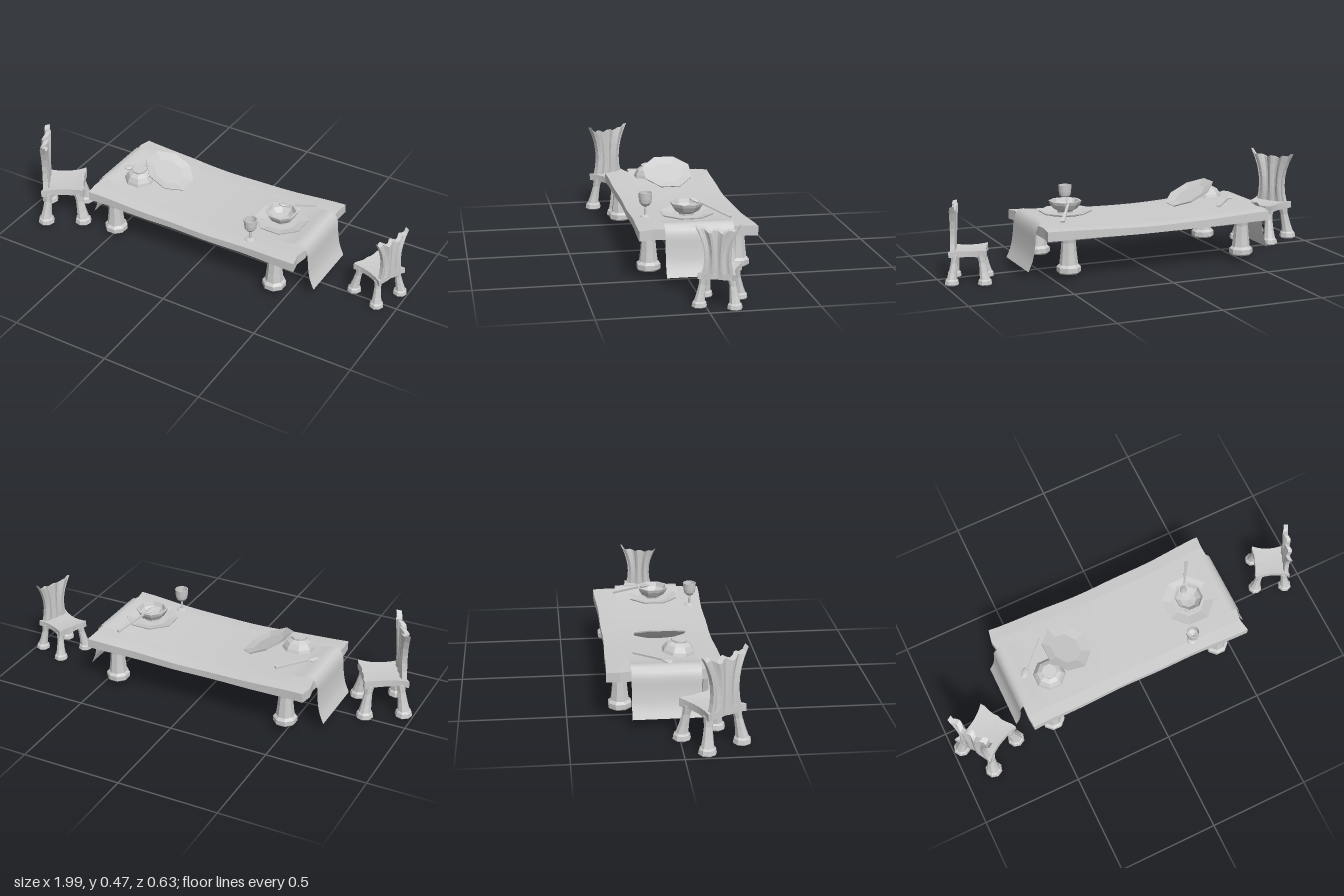
import * as THREE from 'three';

const flat = new THREE.MeshStandardMaterial({ color: 0xcccccc, flatShading: true });
const smooth = new THREE.MeshStandardMaterial({ color: 0xcccccc, side: THREE.DoubleSide });

function add(parent, name, geometry, material = flat) {
  const mesh = new THREE.Mesh(geometry, material);
  mesh.name = name;
  parent.add(mesh);
  return mesh;
}

// Moves every vertex of a geometry by a rule
function warp(geometry, rule) {
  const p = geometry.attributes.position;
  const v = new THREE.Vector3();
  for (let i = 0; i < p.count; i++) {
    rule(v.fromBufferAttribute(p, i));
    p.setXYZ(i, v.x, v.y, v.z);
  }
  geometry.computeVertexNormals();
  return geometry;
}

function turned(points, sides) {
  return new THREE.LatheGeometry(points.map(([r, y]) => new THREE.Vector2(r, y)), sides, Math.PI / sides);
}

// Chair facing its own +z
function makeChair(name, x, z, turn, scale) {
  const chair = new THREE.Group();
  chair.name = name;
  const legProfile = [[0, 0.003], [0.037, 0.003], [0.043, 0.009], [0.039, 0.03], [0.031, 0.038],
    [0.025, 0.075], [0.02, 0.13], [0.025, 0.175], [0, 0.175]];
  for (const sx of [-1, 1]) for (const sz of [-1, 1]) {
    // legs lean inwards above the foot
    const leg = warp(turned(legProfile, 8), v => {
      const lean = Math.max(0, v.y - 0.035) * 0.15;
      v.x -= sx * lean;
      v.z -= sz * lean;
    });
    add(chair, 'chairLeg', leg).position.set(sx * 0.0975, 0, sz * 0.095);
  }
  // waisted, dished seat
  add(chair, 'chairSeat', warp(new THREE.BoxGeometry(2, 0.034, 2, 8, 1, 8), v => {
    const { x: u, z: w } = v;
    const top = v.y > 0;
    v.x = u * (0.086 + 0.02 * w * w);
    v.z = w * (0.1 + 0.008 * u * u) + 0.003 * Math.cos(u * 9);
    v.y += 0.18 + (top ? 0.008 * w * w * (w > 0 ? 1 : 0.2) - 0.004 * (1 - u * u) : 0);
  }));
  // folded, flaring back with a ragged top
  add(chair, 'chairBack', warp(new THREE.BoxGeometry(2, 1, 0.026, 16, 6, 1), v => {
    const u = v.x, t = v.y + 0.5;
    const ragged = 0.43 + 0.03 * u * u * u * u + 0.008 * Math.sin(u * 11 + 1) + (v.z > 0 ? 0.004 : -0.003);
    v.x = u * (0.086 - 0.085 * t + 0.1215 * t * t);
    v.y = 0.19 + t * (ragged - 0.19);
    v.z += -0.088 + 0.009 * Math.cos(u * 10) * (0.3 + 0.7 * t) + 0.012 * u * u * t;
  }));
  chair.position.set(x, 0, z);
  chair.rotation.y = turn;
  chair.scale.setScalar(scale);
  return chair;
}

// Spoon from its head to the end of its handle
function makeSpoon(head, end) {
  const spoon = new THREE.Group();
  spoon.name = 'spoon';
  const length = head.distanceTo(end);
  const bowl = add(spoon, 'spoonHead', new THREE.SphereGeometry(1, 10, 6));
  bowl.scale.set(0.018, 0.007, 0.03);
  add(spoon, 'spoonHandle', warp(new THREE.BoxGeometry(0.014, 0.009, length - 0.02, 1, 1, 4), v => {
    const t = v.z / (length - 0.02) + 0.5;
    v.x *= 0.7 + 0.7 * t * t;
    v.z += length / 2 + 0.01;
  }));
  spoon.position.copy(head);
  spoon.lookAt(end);
  return spoon;
}

export function createModel() {
  const model = new THREE.Group();
  model.name = 'diningSet';

  // Sagging table top with rough ends
  const table = new THREE.Group();
  table.name = 'table';
  model.add(table);
  add(table, 'tableTop', warp(new THREE.BoxGeometry(2, 2, 2, 20, 1, 9), v => {
    const { x: u, z: w } = v;
    const sag = u * u * (1.6 - 0.6 * u * u);
    const bevel = Math.abs(w) > 0.99 && v.y > 0 ? 0.004 : 0;
    v.y = v.y > 0 ? 0.24 + 0.022 * sag - bevel : 0.203 + 0.009 * sag;
    v.z = -0.041 + w * (0.264 + 0.014 * u * u + 0.002 * Math.sin(u * 9));
    v.x = -0.025 + u * 0.58;
    if (Math.abs(u) > 0.99) v.x += u * 0.006 * Math.sin(w * 13 + u);
  }));
  const tableLeg = turned([[0, 0.037], [0.05, 0.037], [0.058, 0.045], [0.058, 0.068], [0.045, 0.08],
    [0.039, 0.13], [0.034, 0.185], [0.039, 0.218]], 8);
  for (const x of [-0.485, 0.43]) for (const z of [-0.25, 0.175]) {
    add(table, 'tableLeg', tableLeg).position.set(x, 0, z);
  }

  // Cloth runner, hanging over both ends
  const runnerCurve = new THREE.CatmullRomCurve3([
    [-0.662, 0.046], [-0.64, 0.1], [-0.628, 0.17], [-0.62, 0.25], [-0.595, 0.282], [-0.5, 0.268], [-0.3, 0.252],
    [-0.025, 0.243], [0.25, 0.252], [0.45, 0.268], [0.545, 0.282], [0.57, 0.25], [0.58, 0.17], [0.592, 0.1], [0.615, 0.046],
  ].map(([x, y]) => new THREE.Vector3(x, y, 0)));
  add(model, 'tableRunner', warp(new THREE.PlaneGeometry(1, 0.323, 60, 4).rotateX(-Math.PI / 2), v => {
    const p = runnerCurve.getPointAt(Math.min(1, Math.max(0, v.x + 0.5)));
    v.set(p.x, p.y, v.z - 0.042);
  }), smooth);

  // Chairs at both ends
  model.add(makeChair('largeChair', -0.823, 0.14, Math.atan2(0.863, -0.505), 1));
  model.add(makeChair('smallChair', 0.863, -0.073, Math.atan2(-0.146, -0.056), 0.81));

  // Plates and bowls
  const plate = turned([[0, 0], [0.075, 0], [0.128, 0.014], [0.13, 0.02], [0.08, 0.009], [0, 0.009]], 8);
  const bowl = turned([[0, 0], [0.037, 0], [0.037, 0.009], [0.06, 0.022], [0.075, 0.045], [0.08, 0.06],
    [0.07, 0.06], [0.062, 0.04], [0.04, 0.02], [0, 0.014]], 8);
  add(model, 'plate', plate).position.set(0.358, 0.268, -0.02);
  add(model, 'bowl', bowl).position.set(0.358, 0.276, -0.02);

  const leaningPlate = add(model, 'leaningPlate', plate);
  leaningPlate.position.set(-0.305, 0.312, -0.045);
  leaningPlate.rotation.z = -0.46;

  const upturnedBowl = add(model, 'upturnedBowl', bowl);
  upturnedBowl.position.set(-0.425, 0.343, 0.035);
  upturnedBowl.rotation.set(0.1, 0, Math.PI);

  // Goblet
  const goblet = turned([[0, 0], [0.026, 0], [0.024, 0.004], [0.006, 0.009], [0.005, 0.048], [0.018, 0.055],
    [0.028, 0.068], [0.031, 0.085], [0.033, 0.118], [0.029, 0.118], [0.026, 0.08], [0, 0.062]], 14);
  add(model, 'goblet', goblet).position.set(0.288, 0.255, 0.165);

  // Spoons, one across the bowl and one on the table
  model.add(makeSpoon(new THREE.Vector3(0.35, 0.342, -0.06), new THREE.Vector3(0.445, 0.277, -0.215)));
  model.add(makeSpoon(new THREE.Vector3(-0.53, 0.279, -0.03), new THREE.Vector3(-0.395, 0.272, -0.175)));

  return model;
}
